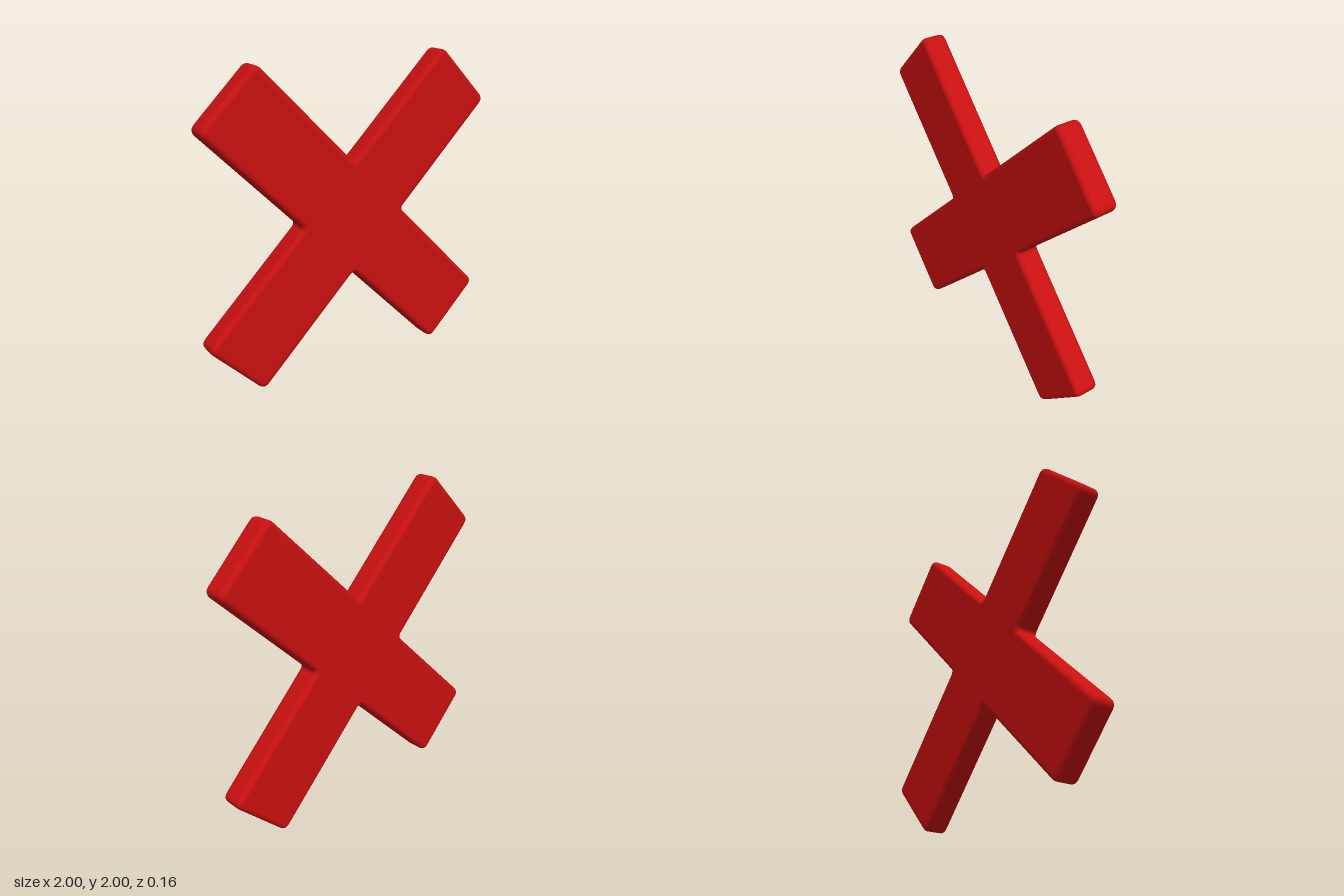
import * as THREE from 'three';
import { mergeVertices } from 'three/addons/utils/BufferGeometryUtils.js';

const W = 0.253;      // half width of an arm
const L = 1.174;      // centre to arm end
const DEPTH = 0.155;  // full thickness
const BEVEL = 0.032;

// Outline of four equal arms; every corner is rounded
function crossOutline() {
  const corners = [];
  for (let i = 0; i < 4; i++) {
    const a = i * Math.PI / 2;
    for (const [x, y, r] of [[L, -W, 0.05], [L, W, 0.05], [W, W, 0.03]]) {
      const p = new THREE.Vector2(x, y).rotateAround(new THREE.Vector2(), a);
      corners.push({ p, r });
    }
  }
  const shape = new THREE.Shape();
  const n = corners.length;
  corners.forEach(({ p, r }, i) => {
    const toward = (q) => q.clone().sub(p).setLength(r).add(p);
    const start = toward(corners[(i + n - 1) % n].p);
    const end = toward(corners[(i + 1) % n].p);
    if (i === 0) shape.moveTo(start.x, start.y);
    else shape.lineTo(start.x, start.y);
    shape.quadraticCurveTo(p.x, p.y, end.x, end.y);
  });
  shape.closePath();
  return shape;
}

export function createModel() {
  const red = new THREE.MeshStandardMaterial({ color: 0xc81010 });
  red.name = 'red';

  // Slab with softly rounded rims
  let geometry = new THREE.ExtrudeGeometry(crossOutline(), {
    depth: DEPTH - 2 * BEVEL,
    steps: 1,
    curveSegments: 8,
    bevelEnabled: true,
    bevelThickness: BEVEL,
    bevelSize: BEVEL,
    bevelOffset: -BEVEL,
    bevelSegments: 6,
  });
  geometry.translate(0, 0, BEVEL - DEPTH / 2);

  // Weld the surface so the rims shade smoothly
  geometry.deleteAttribute('uv');
  geometry.deleteAttribute('normal');
  geometry.clearGroups();
  geometry = mergeVertices(geometry, 1e-5);
  geometry.computeVertexNormals();

  const cross = new THREE.Mesh(geometry, red);
  cross.name = 'diagonalCross';
  cross.rotation.z = Math.PI / 4 - 0.011; // a touch off the exact diagonal
  cross.position.y = 1;

  const group = new THREE.Group();
  group.name = 'crossMark';
  group.add(cross);
  return group;
}
